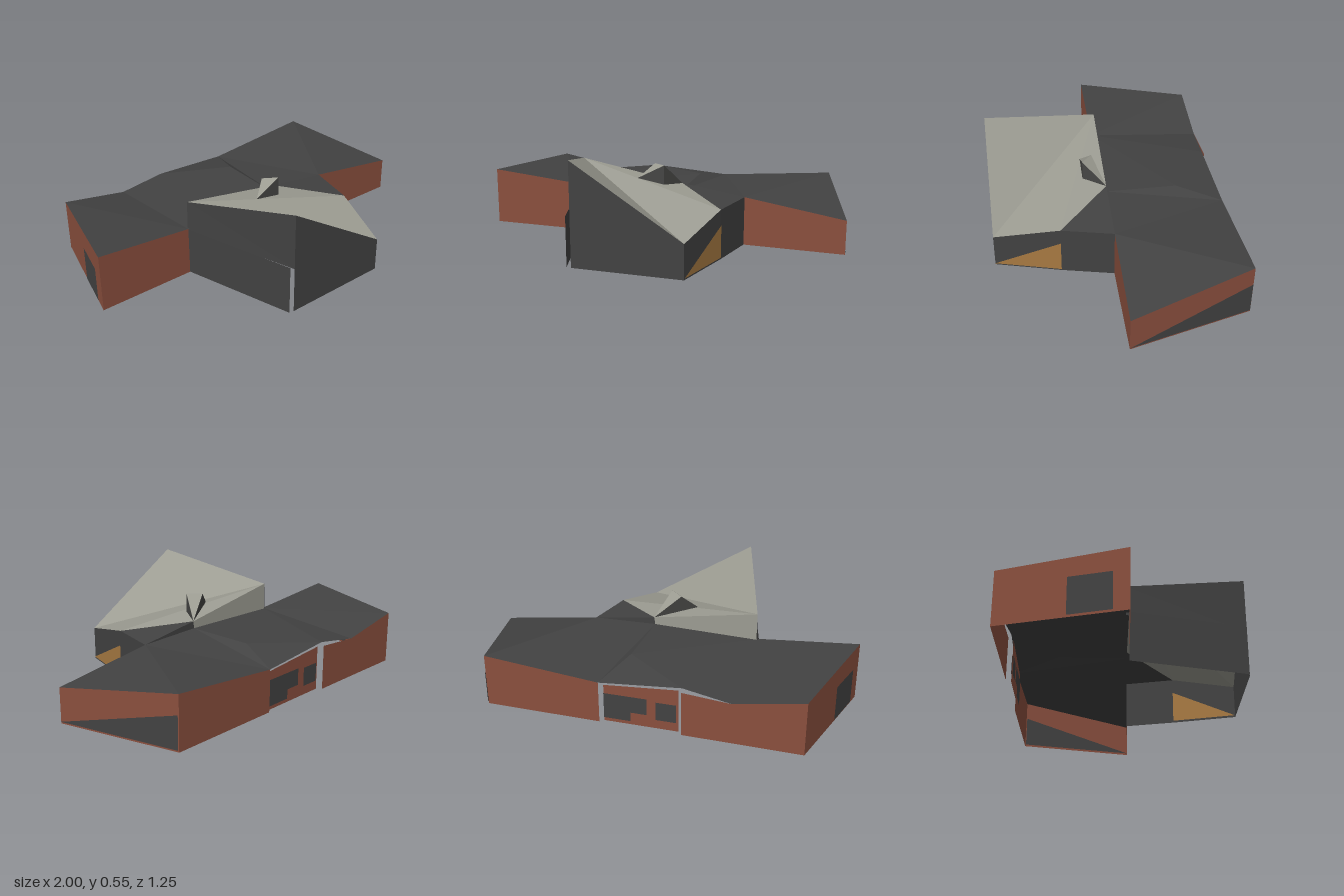
import * as THREE from 'three';

const material = (name, color) => {
  const m = new THREE.MeshStandardMaterial({ color, side: THREE.DoubleSide });
  m.name = name;
  return m;
};

export function createModel() {
  const group = new THREE.Group();
  const brick = material('brick', 0x8a4f3e);
  const dark = material('dark cladding', 0x424242);
  const pale = material('pale roofing', 0x9c9c92);
  const glass = material('glazing', 0x464644);
  const amber = material('amber panel', 0xa87a42);

  // Flat facets, each a convex loop of [x, y, z] corners
  function facets(name, mat, ...loops) {
    const pos = [];
    for (const p of loops) {
      for (let i = 1; i < p.length - 1; i++) {
        const [a, b, c] = [p[0], p[i], p[i + 1]];
        pos.push(...a, ...b, ...c);
      }
    }
    const g = new THREE.BufferGeometry();
    g.setAttribute('position', new THREE.Float32BufferAttribute(pos, 3));
    g.computeVertexNormals();
    const mesh = new THREE.Mesh(g, mat);
    mesh.name = name;
    group.add(mesh);
  }
  // Upright wall below a run of roof corners, down to the floor
  function wall(name, mat, ...tops) {
    for (let i = 0; i < tops.length - 1; i++) {
      const [a, b] = [tops[i], tops[i + 1]];
      facets(name, mat, [[a[0], 0, a[2]], [b[0], 0, b[2]], b, a]);
    }
  }
  // Thin panel on both faces of a wall from a to b; outline in [fraction, height]
  function panel(name, mat, a, b, ...outlines) {
    const dx = b[0] - a[0], dz = b[2] - a[2], len = Math.hypot(dx, dz);
    for (const off of [0.004, -0.004]) {
      facets(name, mat, ...outlines.map(o => o.map(([t, y]) =>
        [a[0] + dx * t - dz / len * off, y, a[2] + dz * t + dx / len * off])));
    }
  }
  const rect = (t0, t1, y0, y1) => [[t0, y0], [t1, y0], [t1, y1], [t0, y1]];

  // Corners of the low roof
  const leftBack = [-0.84, 0.285, -0.605], leftFront = [-1, 0.313, 0.02];
  const leftInner = [-0.47, 0.265, 0.015], leftDip = [-0.48, 0.22, -0.61];
  const backA = [-0.23, 0.257, -0.6], backB = [0.2, 0.225, -0.62];
  const ridge = [0.11, 0.28, -0.38], valley = [0.11, 0.275, 0];
  const rightInner = [0.46, 0.265, 0], rightFront = [1, 0.185, 0];
  const rightBack = [0.82, 0.28, -0.63];

  // Corners of the raised front roof
  const highBack = [-0.46, 0.415, 0], peak = [-0.275, 0.55, 0.623];
  const lowFront = [0.31, 0.183, 0.615], sideKnee = [0.4, 0.265, 0.27];
  const tail = [0.115, 0.315, 0];

  facets('lowRoof', dark,
    [leftBack, leftFront, leftInner], [leftBack, leftInner, leftDip],
    [leftDip, leftInner, backA], [leftInner, ridge, backA],
    [leftInner, valley, ridge], [ridge, backB, backA], [valley, backB, ridge],
    [valley, rightInner, backB], [tail, sideKnee, rightInner],
    [tail, rightInner, valley], [backB, rightInner, rightBack],
    [rightInner, rightFront, rightBack]);

  facets('raisedRoof', pale,
    [highBack, peak, lowFront], [highBack, lowFront, sideKnee], [highBack, sideKnee, tail]);
  facets('raisedRoofBack', pale, [highBack, tail, valley, [-0.46, 0.265, 0]]);

  // Brick wings
  wall('leftWingWall', brick, [-0.23, 0.24, -0.615], leftDip, leftBack, leftFront, leftInner);
  wall('rightWingWall', brick, rightInner, rightFront, rightBack, backB);

  // Set-back wall between the wings, with a slit at each end
  const midA = [0.18, 0.205, -0.6], midB = [-0.21, 0.235, -0.59];
  wall('rearCentreWall', brick, midA, midB);
  panel('rearWindow', dark, midA, midB,
    rect(0, 0.58, 0.07, 0.16), rect(0, 0.36, 0.02, 0.07),
    rect(0.7, 0.97, 0.05, 0.15));
  panel('leftEndWindow', dark, leftBack, leftFront, rect(0.55, 0.88, 0.01, 0.2));
  panel('rightEndWindow', dark, rightFront, rightBack, [[0, 0.01], [0.995, 0.01], [0.995, 0.18]]);

  // Dark front block
  wall('frontWall', dark, peak, lowFront);
  wall('frontSideWall', dark, lowFront, sideKnee, rightInner);
  wall('frontLeftWall', dark, [-0.47, 0.265, 0.015], [-0.3, 0.265, 0.62]);
  facets('upperLeftWall', dark, [highBack, [-0.465, 0.25, 0], [-0.275, 0.25, 0.623], peak]);
  panel('amberPanel', amber, lowFront, sideKnee, [[0.005, 0.01], [1, 0.01], [1, 0.183]]);

  // Folded roof light
  const lightFront = [0.05, 0.435, 0.12], lightBack = [-0.02, 0.43, 0.065];
  const lightLeft = [-0.1, 0.355, 0.12], lightFoot = [0.05, 0.33, 0.12];
  facets('roofLightTop', pale,
    [lightLeft, lightFront, lightBack], [lightBack, lightFront, tail]);
  facets('roofLightGlass', glass,
    [lightLeft, lightFoot, lightFront], [lightFoot, tail, lightFront],
    [lightLeft, lightBack, tail]);

  return group;
}
